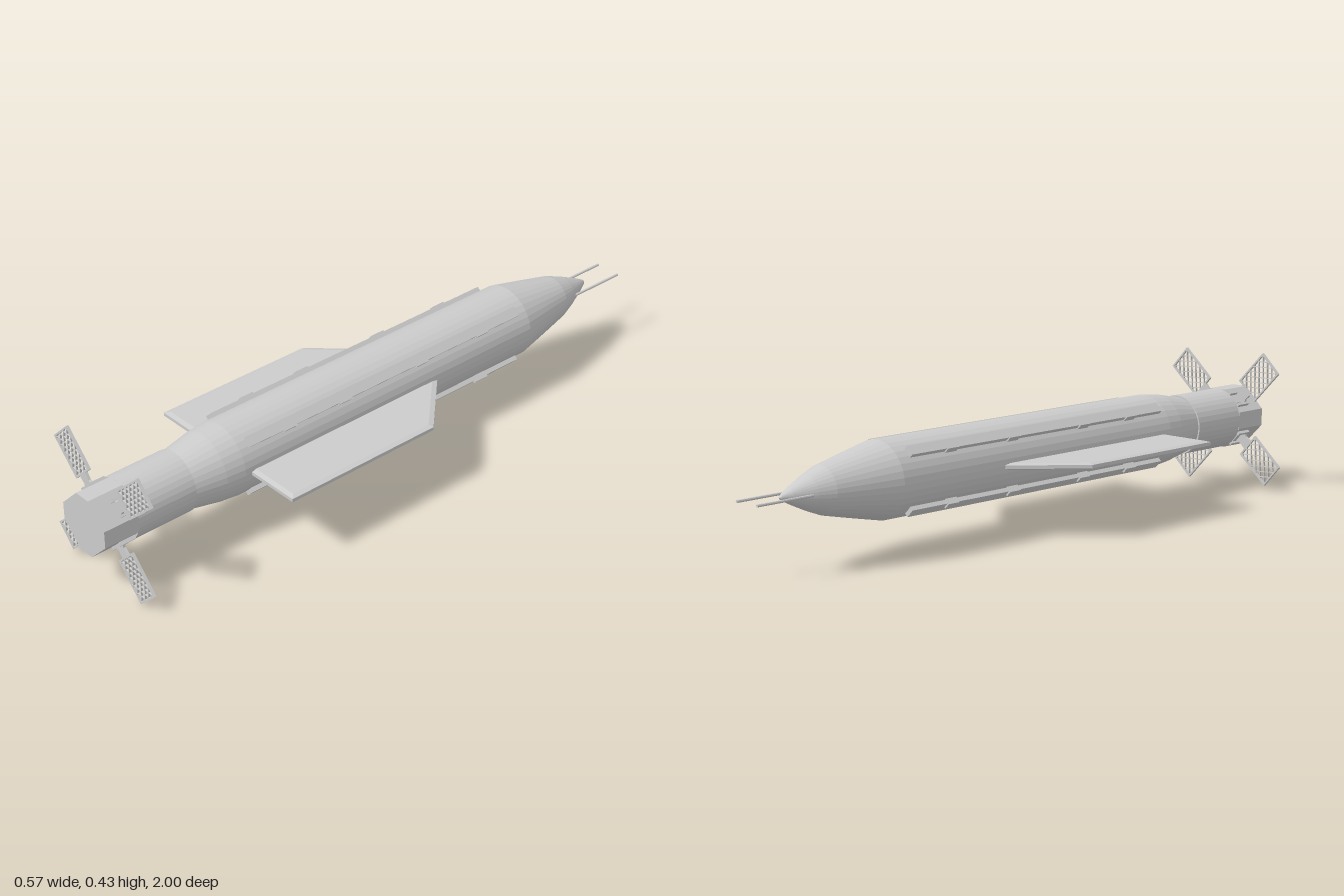
import * as THREE from 'three';
import { mergeGeometries } from 'three/addons/utils/BufferGeometryUtils.js';

const grey = new THREE.MeshStandardMaterial({ color: 0xcccccc, flatShading: true });

function add(parent, name, geometry) {
  const mesh = new THREE.Mesh(geometry, grey);
  mesh.name = name;
  parent.add(mesh);
  return mesh;
}

const box = (w, h, d, x = 0, y = 0, z = 0) => new THREE.BoxGeometry(w, h, d).translate(x, y, z);

// Turned shape along z from [z, radius] pairs
function turned(profile) {
  const points = profile.map(([z, r]) => new THREE.Vector2(r, z));
  return new THREE.LatheGeometry(points, 36).rotateX(Math.PI / 2);
}

const polygon = (pts) => new THREE.Shape(pts.map(([x, y]) => new THREE.Vector2(x, y)));

// Diagonal bars clipped to a rectangle of length L (x) and width W (y)
function latticeBars(L, W, pitch, thickness, depth) {
  const bars = [];
  const step = pitch * Math.SQRT2;
  const n = Math.floor((L + W) / 2 / step);
  for (const s of [1, -1]) {
    for (let i = -n; i <= n; i++) {
      const c = i * step; // line: y = s * (x - c)
      const x0 = Math.max(-L / 2, c - W / 2);
      const x1 = Math.min(L / 2, c + W / 2);
      if (x1 - x0 < 0.004) continue;
      const mid = (x0 + x1) / 2;
      bars.push(box((x1 - x0) * Math.SQRT2, thickness, depth)
        .rotateZ(s * Math.PI / 4)
        .translate(mid, s * (mid - c), 0));
    }
  }
  return bars;
}

// Grid fin lying along +x, with its neck and hinge cheeks
function gridFin() {
  const fin = new THREE.Group();
  fin.name = 'gridFin';
  const L = 0.131, W = 0.086, rim = 0.005, depth = 0.008, centre = 0.188;

  const frame = [
    box(L, rim, depth, 0, (W - rim) / 2), box(L, rim, depth, 0, -(W - rim) / 2),
    box(rim, W, depth, (L - rim) / 2), box(rim, W, depth, -(L - rim) / 2),
  ];
  add(fin, 'finFrame', mergeGeometries(frame).translate(centre, 0, 0));
  add(fin, 'finLattice',
    mergeGeometries(latticeBars(L - rim, W - rim, 0.0165, 0.0022, 0.006)).translate(centre, 0, 0));

  const neck = polygon([[0.07, -0.021], [0.09, -0.021], [0.1, -0.015], [0.125, -0.018],
    [0.125, 0.018], [0.1, 0.015], [0.09, 0.021], [0.07, 0.021]]);
  add(fin, 'finNeck',
    new THREE.ExtrudeGeometry(neck, { depth: 0.008, bevelEnabled: false }).translate(0, 0, -0.004));
  for (const s of [-1, 1]) {
    add(fin, 'hingeCheek', box(0.02, 0.008, 0.05, 0.083, s * 0.023, -0.012));
  }
  add(fin, 'hingeBlock', box(0.014, 0.03, 0.016, 0.082, 0, -0.024));
  return fin;
}

export function createModel() {
  const model = new THREE.Group();
  model.name = 'glideVehicle';

  // Hull: pointed nose, straight barrel, boat tail
  add(model, 'hull', turned([
    [-0.893, 0], [-0.888, 0.007], [-0.86, 0.022], [-0.8, 0.049], [-0.75, 0.068], [-0.65, 0.09],
    [-0.55, 0.111], [0.54, 0.111], [0.6, 0.105], [0.7, 0.086], [0.7, 0],
  ]));
  add(model, 'tailSection', turned([[0.695, 0], [0.695, 0.0915], [0.89, 0.0915], [0.89, 0]]));

  // Tail block with four diagonal flats for the fins
  const a = 0.0905, b = 0.026;
  const flats = polygon([[a, -b], [a, b], [b, a], [-b, a], [-a, b], [-a, -b], [-b, -a], [b, -a]]);
  add(model, 'tailBlock',
    new THREE.ExtrudeGeometry(flats, { depth: 0.112, bevelEnabled: false }).translate(0, 0, 0.888));

  // Nose probes
  for (const s of [-1, 1]) {
    add(model, 'noseProbe',
      new THREE.CylinderGeometry(0.004, 0.004, 0.22, 8).rotateX(Math.PI / 2).translate(s * 0.041, 0, -0.89));
  }

  // Wings with bevelled edges
  const plan = polygon([[0.08, -0.2], [0.105, -0.175], [0.28, 0.005], [0.28, 0.52], [0.08, 0.52]]);
  const wing = new THREE.ExtrudeGeometry(plan, {
    depth: 0.01, bevelThickness: 0.004, bevelSize: 0.014, bevelOffset: -0.014, bevelSegments: 1,
  }).translate(0, 0, -0.005).rotateX(Math.PI / 2);
  add(model, 'leftWing', wing).position.y = -0.002;
  const rightWing = add(model, 'rightWing', wing);
  rightWing.rotation.z = Math.PI;
  rightWing.position.y = -0.002;

  // Four rails along the barrel, each with four lugs
  for (let i = 0; i < 4; i++) {
    const rail = new THREE.Group();
    rail.name = 'rail';
    add(rail, 'railStrip', box(0.03, 0.03, 1.02, 0.108));
    for (const z of [-0.36, -0.12, 0.17, 0.37]) {
      add(rail, 'railLug', box(0.022, 0.02, 0.042, 0.117, (i % 2 ? 1 : -1) * 0.009, z));
    }
    rail.rotation.z = Math.PI / 4 + i * Math.PI / 2;
    model.add(rail);
  }

  // Grid fins around the tail
  for (const angle of [42, 134, 222, 313.5]) {
    const fin = gridFin();
    fin.position.z = 0.932;
    fin.rotation.z = THREE.MathUtils.degToRad(angle);
    model.add(fin);
  }

  // Slight yaw of the whole vehicle
  model.rotation.y = 0.0158;
  model.position.set(-0.005, 0.215, 0);
  const group = new THREE.Group();
  group.add(model);
  return group;
}
